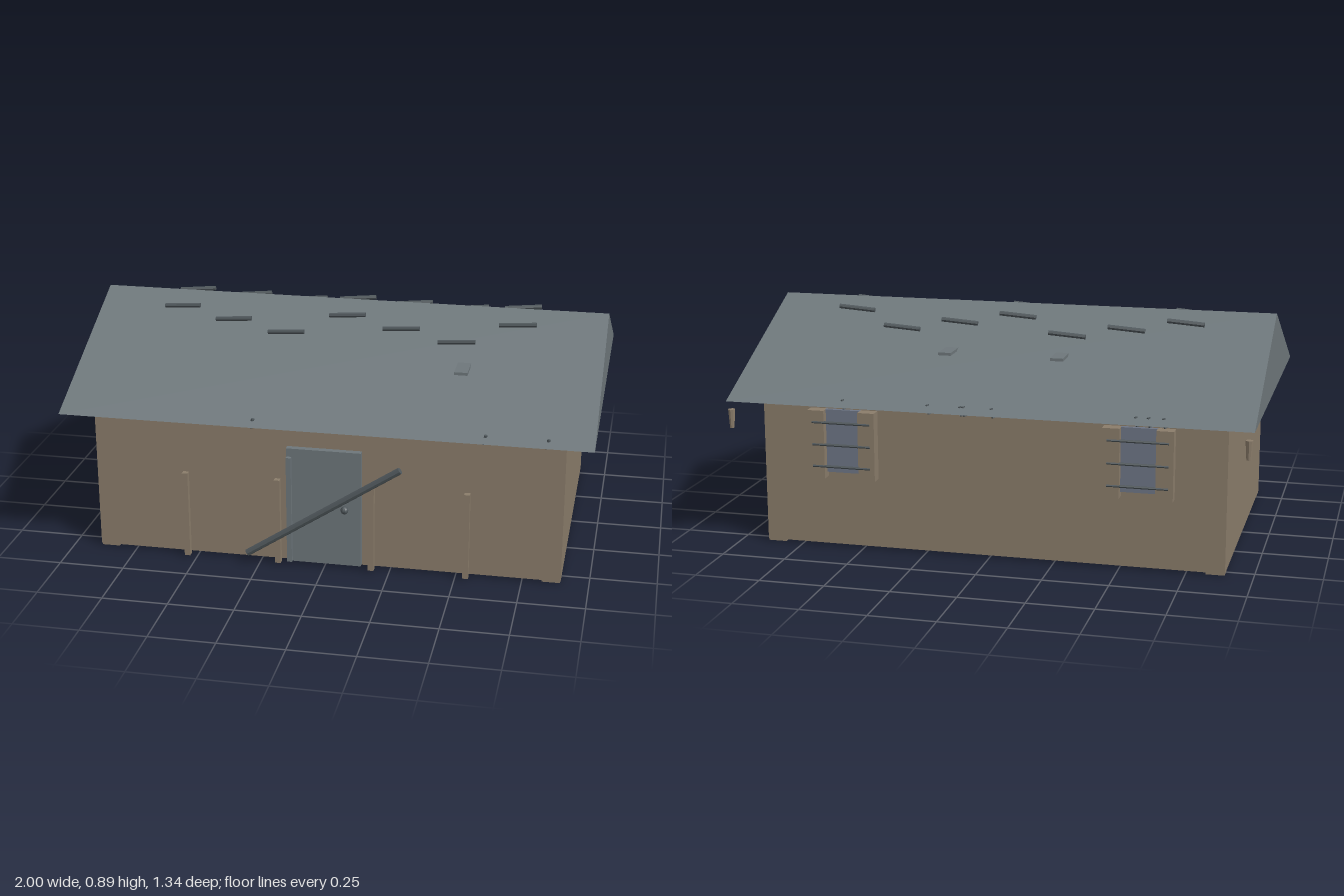
import * as THREE from 'three';

const mat = (name, color) => {
  const m = new THREE.MeshStandardMaterial({ color });
  m.name = name;
  m.flatShading = true;
  return m;
};

export function createModel() {
  const wood = mat('wall wood', 0x8b7d6b);
  const slate = mat('slate', 0x6e777b);
  const iron = mat('dark iron', 0x4f575b);
  const glass = mat('window glass', 0x6e7686);

  const house = new THREE.Group();
  house.name = 'house';

  const add = (parent, name, geometry, material, x = 0, y = 0, z = 0) => {
    const mesh = new THREE.Mesh(geometry, material);
    mesh.name = name;
    mesh.position.set(x, y, z);
    parent.add(mesh);
    return mesh;
  };
  // Box given by its minimum and maximum corners
  const box = (parent, name, material, [x0, x1], [y0, y1], [z0, z1]) =>
    add(parent, name, new THREE.BoxGeometry(x1 - x0, y1 - y0, z1 - z0), material,
      (x0 + x1) / 2, (y0 + y1) / 2, (z0 + z1) / 2);
  // Round bar between two points
  const bar = (parent, name, material, a, b, radius, sides = 8) => {
    const from = new THREE.Vector3(...a), to = new THREE.Vector3(...b);
    const dir = to.clone().sub(from);
    const mesh = add(parent, name, new THREE.CylinderGeometry(radius, radius, dir.length(), sides), material);
    mesh.position.copy(from).add(to).multiplyScalar(0.5);
    mesh.quaternion.setFromUnitVectors(new THREE.Vector3(0, 1, 0), dir.normalize());
    return mesh;
  };

  // Walls and corner footings
  box(house, 'walls', wood, [-0.895, 0.895], [0.008, 0.585], [-0.545, 0.565]);
  for (const s of [-1, 1]) {
    for (const z of [-0.51, 0.53]) {
      add(house, 'footing', new THREE.BoxGeometry(0.07, 0.012, 0.065), wood, s * 0.858, 0.006, z);
    }
  }

  // Solid gable roof
  const gable = new THREE.Shape([
    new THREE.Vector2(-0.667, 0.58),
    new THREE.Vector2(0.667, 0.58),
    new THREE.Vector2(0, 0.886),
  ]);
  const roof = new THREE.ExtrudeGeometry(gable, { depth: 2, bevelEnabled: false });
  roof.translate(0, 0, -1).rotateY(Math.PI / 2);
  add(house, 'roof', roof, slate, 0, 0, 0.003);

  // Loose battens on both slopes, in three repeating rows
  const rows = [[0.855, 0.112], [0.831, 0.167], [0.808, 0.219]];
  for (const side of [-1, 1]) {
    for (let i = 0; i < 7; i++) {
      const x = -0.665 + i * 0.221;
      const [y, d] = rows[i % 3];
      const z = side * d + 0.004;
      bar(house, 'roofBatten', iron, [x - 0.072, y - 0.006, z - side * 0.004],
        [x + 0.072, y + 0.006, z + side * 0.004], 0.0095);
    }
  }

  // Flat slabs sticking out of the slopes
  for (const [x, z] of [[0.482, 0.3], [-0.222, -0.29], [0.215, -0.29]]) {
    add(house, 'roofSlab', new THREE.BoxGeometry(0.05, 0.011, 0.21), slate, x, 0.747, z);
  }

  // Small pegs through the eaves
  const pegs = [[0.633, [-0.262, 0.603, 0.83]],
    [-0.62, [-0.672, -0.617, -0.57, -0.033, 0.075, 0.087, 0.213, 0.545]]];
  for (const [z, xs] of pegs) {
    for (const x of xs) {
      bar(house, 'eavePeg', iron, [x - 0.004, 0.566, z], [x + 0.004, 0.602, z], 0.007, 6);
    }
  }

  // Tapered pendants at the back corners
  for (const s of [-1, 1]) {
    add(house, 'pendant', new THREE.CylinderGeometry(0.014, 0.009, 0.072, 8), wood, s * 0.981, 0.513, -0.656);
  }

  // Door with edge strip, knob and diagonal brace
  const door = new THREE.Group();
  door.name = 'door';
  house.add(door);
  box(door, 'doorPanel', slate, [-0.145, 0.14], [0.012, 0.475], [0.56, 0.589]);
  box(door, 'doorStrip', slate, [-0.143, -0.124], [0.014, 0.442], [0.585, 0.604]);
  add(door, 'doorKnob', new THREE.SphereGeometry(0.015, 10, 8), iron, 0.081, 0.248, 0.606);
  bar(door, 'doorBrace', iron, [-0.293, 0.047, 0.622], [0.293, 0.433, 0.622], 0.0135);

  // Front posts
  for (const x of [-0.535, -0.178, 0.182, 0.541]) {
    box(house, 'frontPost', wood, [x - 0.011, x + 0.011], [0.008, 0.35], [0.588, 0.61]);
  }

  // Barred back windows
  for (const x of [-0.57, 0.57]) {
    const win = new THREE.Group();
    win.name = 'backWindow';
    win.position.x = x;
    house.add(win);
    for (const s of [-1, 1]) {
      add(win, 'shutter', new THREE.BoxGeometry(0.065, 0.266, 0.046), wood, s * 0.1, 0.413, -0.567);
    }
    box(win, 'pane', glass, [-0.07, 0.07], [0.3, 0.546], [-0.563, -0.54]);
    for (const y of [0.328, 0.413, 0.5]) {
      bar(win, 'windowBar', iron, [-0.115, y, -0.587], [0.115, y, -0.587], 0.0055, 6);
    }
  }

  return house;
}
